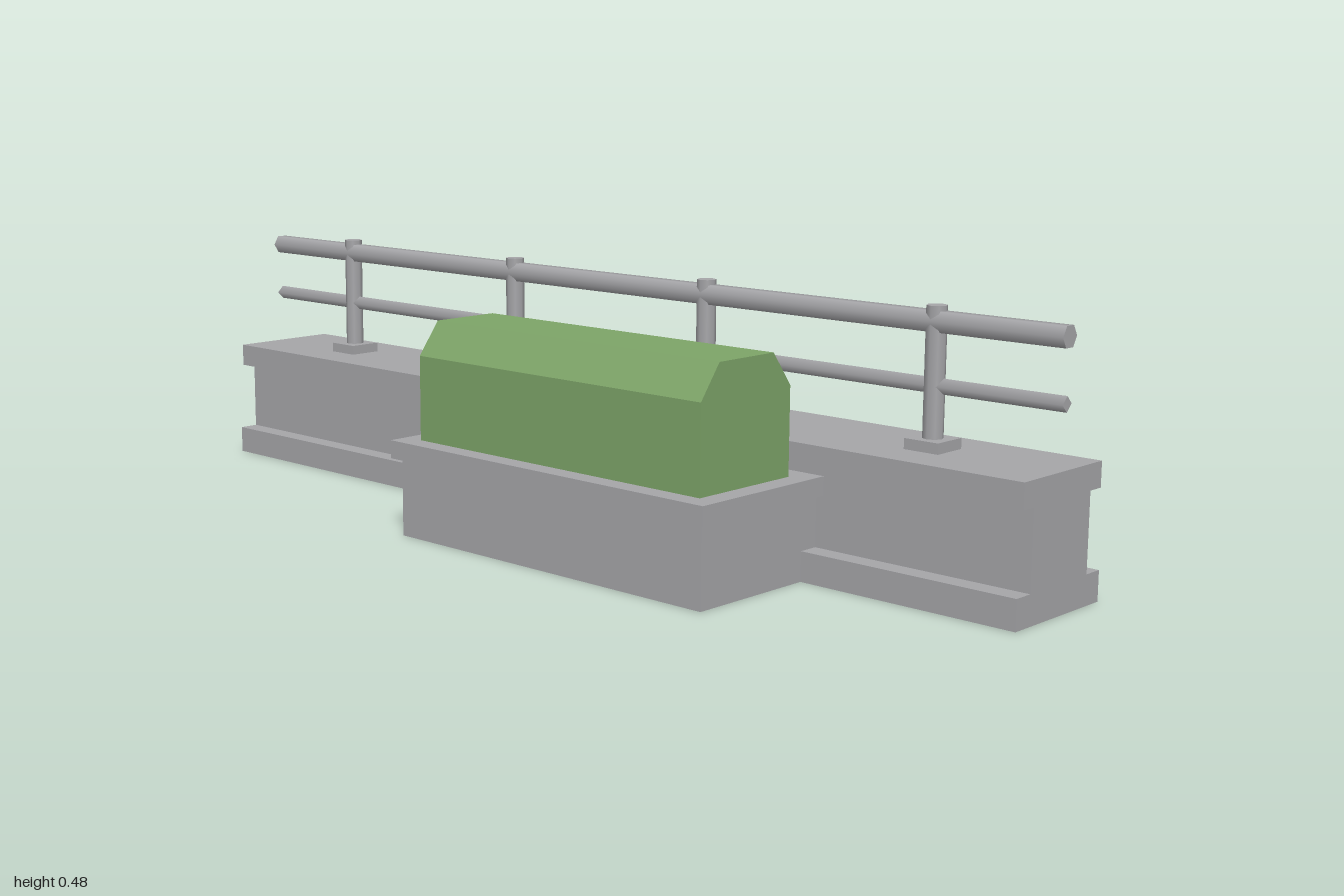
import * as THREE from 'three';

const concrete = new THREE.MeshStandardMaterial({ color: 0xa5a5a8 });
concrete.name = 'concreteGrey';
const foliage = new THREE.MeshStandardMaterial({ color: 0x7da468 });
foliage.name = 'hedgeGreen';

export function createModel() {
  const model = new THREE.Group();
  model.name = 'barrierWall';

  const add = (name, geometry, material, x = 0, y = 0, z = 0) => {
    const mesh = new THREE.Mesh(geometry, material);
    mesh.name = name;
    mesh.position.set(x, y, z);
    model.add(mesh);
    return mesh;
  };

  // Extrude an x-y outline from z0 to z1
  const prism = (name, outline, z0, z1, material) => {
    const shape = new THREE.Shape(outline.map(([x, y]) => new THREE.Vector2(x, y)));
    const geometry = new THREE.ExtrudeGeometry(shape, { depth: z1 - z0, bevelEnabled: false });
    return add(name, geometry, material, 0, 0, z0);
  };

  // Box given by its limits
  const block = (name, x0, x1, y0, y1, z0, z1) =>
    add(name, new THREE.BoxGeometry(x1 - x0, y1 - y0, z1 - z0), concrete,
      (x0 + x1) / 2, (y0 + y1) / 2, (z0 + z1) / 2);

  // Long wall with a wide foot and coping
  prism('wall', [
    [0.014, 0], [0.261, 0], [0.261, 0.054], [0.222, 0.054], [0.222, 0.194], [0.254, 0.194],
    [0.254, 0.239], [0.023, 0.239], [0.023, 0.194], [0.053, 0.194], [0.053, 0.054], [0.014, 0.054],
  ], -1, 1, concrete);

  // Planter against the wall
  block('planterBase', -0.247, 0.053, 0, 0.147, -0.155, 0.575);
  block('planterRim', -0.262, 0.053, 0.147, 0.181, -0.17, 0.59);

  // Hedge with chamfered top edges
  prism('hedge', [
    [-0.223, 0.181], [0.007, 0.181], [0.007, 0.339],
    [-0.039, 0.4], [-0.178, 0.4], [-0.223, 0.339],
  ], -0.13, 0.55, foliage);

  // Railing posts on square foot plates
  const railX = 0.138;
  for (const z of [-0.75, -0.25, 0.25, 0.75]) {
    block('postFoot', railX - 0.034, railX + 0.034, 0.239, 0.258, z - 0.034, z + 0.034);
    add('railPost', new THREE.CylinderGeometry(0.018, 0.018, 0.224, 8), concrete, railX, 0.37, z);
  }

  // Hexagonal handrail and thin square lower rail, corners pointing sideways
  const rail = (name, radius, sides, y) => {
    const geometry = new THREE.CylinderGeometry(radius, radius, 2, sides);
    geometry.rotateY(Math.PI / 2).rotateX(Math.PI / 2);
    add(name, geometry, concrete, railX, y, 0);
  };
  rail('handrail', 0.0205, 6, 0.455);
  rail('lowerRail', 0.0135, 4, 0.347);

  return model;
}
